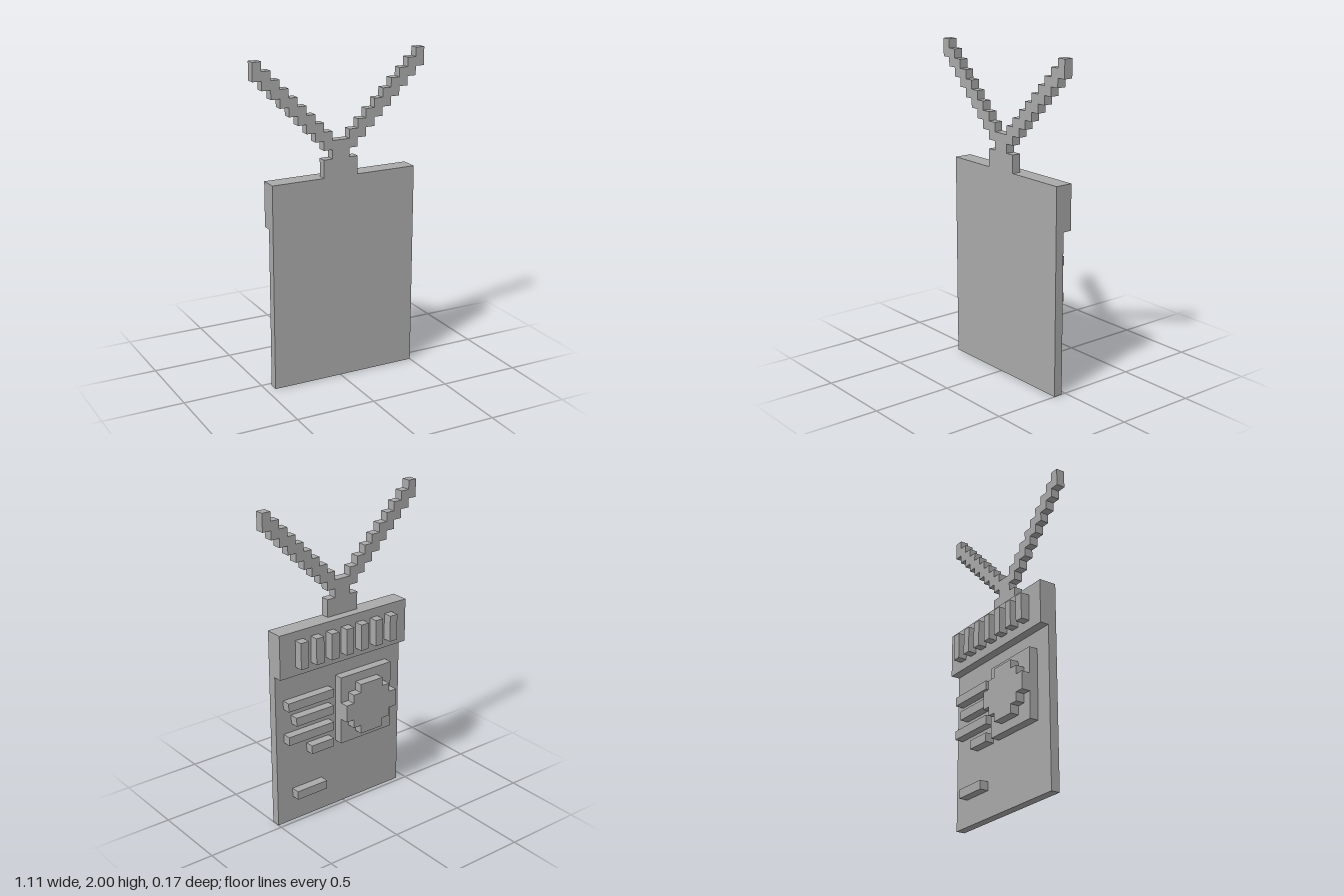
import * as THREE from 'three';

// One grid cell; all part sizes below are whole cells.
const U = 2 / 36;

export function createModel() {
  const model = new THREE.Group();
  model.name = 'badgeOnStrap';
  const grey = new THREE.MeshStandardMaterial({ color: 0xaaaaaa });
  grey.name = 'grey';

  // Depth layers, from the front: 0 = card, 1 = raised, 2 = most raised
  const layerBack = (layer) => 0.5 - layer;

  function block(name, x0, x1, y0, y1, firstLayer, lastLayer = firstLayer) {
    const depth = lastLayer - firstLayer + 1;
    const mesh = new THREE.Mesh(new THREE.BoxGeometry((x1 - x0) * U, (y1 - y0) * U, depth * U), grey);
    mesh.position.set(((x0 + x1) / 2) * U, ((y0 + y1) / 2) * U, (layerBack(lastLayer) + depth / 2) * U);
    mesh.name = name;
    model.add(mesh);
  }

  function plate(name, points, layer) {
    const shape = new THREE.Shape(points.map(([x, y]) => new THREE.Vector2(x * U, y * U)));
    const geometry = new THREE.ExtrudeGeometry(shape, { depth: U, bevelEnabled: false });
    geometry.translate(0, 0, layerBack(layer) * U);
    const mesh = new THREE.Mesh(geometry, grey);
    mesh.name = name;
    model.add(mesh);
  }

  // Card with its thick header band and the clip on top
  block('card', -8, 9, 0, 23, 0);
  block('headerBand', -8, 9, 18, 23, 1);
  block('clip', -2, 2, 23, 25, 0);

  // Stepped V-shaped strap: outer edge up each side, inner edge back down
  const outer = [];
  const inner = [];
  for (let k = 0; k < 10; k++) {
    outer.push([k, 25 + k], [k + 1, 25 + k]);
    inner.push([k, 27 + k], [k + 1, 27 + k]);
  }
  const rightHalf = [...outer.slice(1), ...inner.slice(1).reverse()];
  const leftHalf = rightHalf.map(([x, y]) => [-x, y]).reverse();
  plate('strap', [...rightHalf, ...leftHalf], 0);

  // Row of upright bars on the header
  for (let x = -6; x <= 6; x += 2) block('headerBar', x, x + 1, 19, 22, 2);

  // Picture panel with a stepped disc on it
  block('picturePanel', -6, 1, 8, 16, 1);
  const rows = [[1.5, 9], [2.5, 10], [3.5, 11], [3.5, 12], [2.5, 13], [1.5, 14]];
  const side = rows.flatMap(([w, y]) => [[w, y], [w, y + 1]])
    .filter(([w, y]) => !(w === 3.5 && y === 12));
  const discRight = side.map(([w, y]) => [-2.5 + w, y]);
  const discLeft = side.map(([w, y]) => [-2.5 - w, y]).reverse();
  plate('pictureDisc', [...discRight, ...discLeft], 2);

  // Raised lines beside and below the picture: x start, x end, y
  for (const [x0, x1, y] of [[2, 8, 14], [2, 7, 12], [2, 8, 10], [2, 5, 8], [3, 7, 3]]) {
    block('raisedLine', x0, x1, y, y + 1, 1);
  }

  return model;
}
